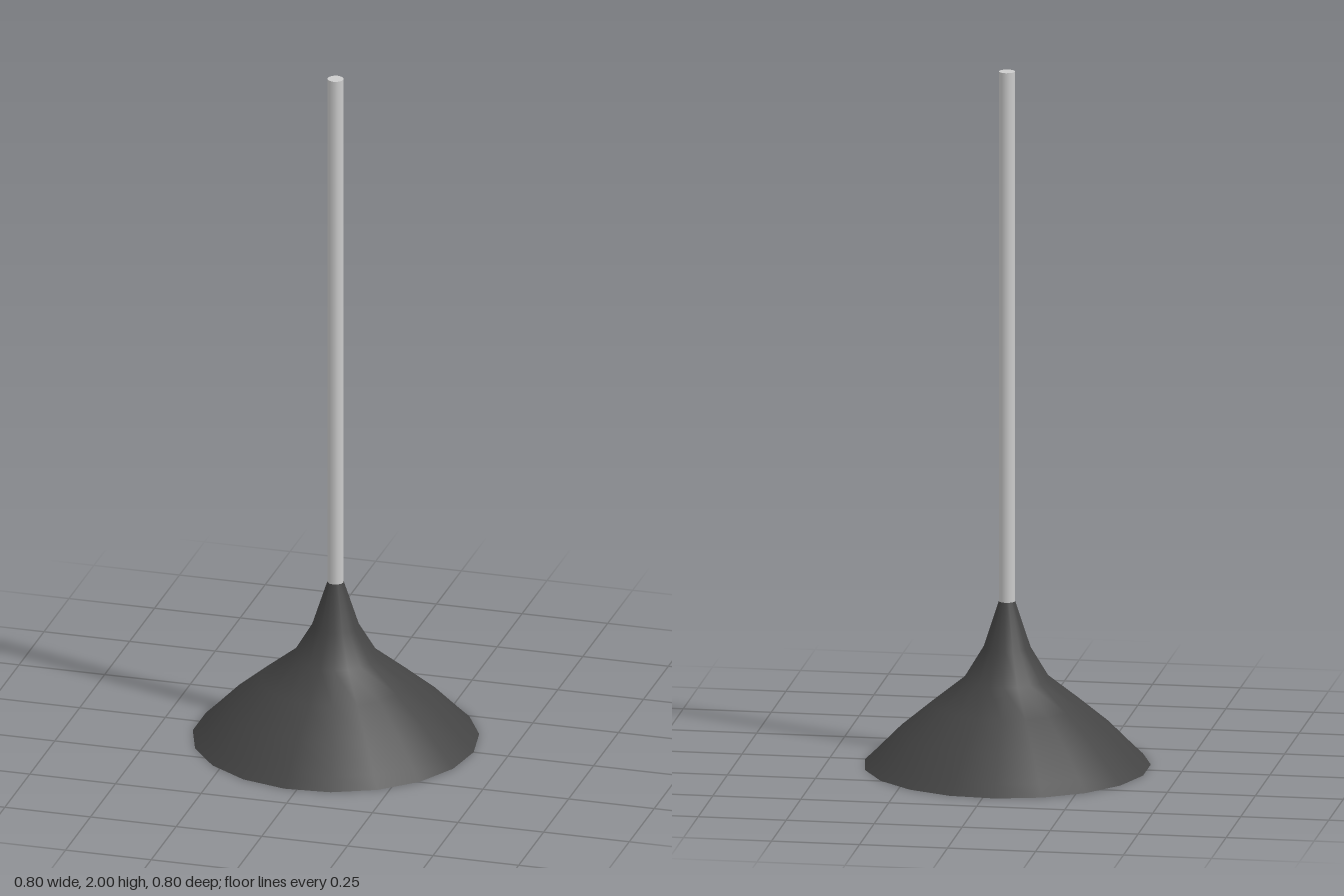
import * as THREE from 'three';

// Turned part from [radius, height] points, listed from bottom to top
function turned(name, profile, sides, material) {
  const points = profile.map(([r, y]) => new THREE.Vector2(r, y));
  const mesh = new THREE.Mesh(new THREE.LatheGeometry(points, sides, Math.PI / 2), material);
  mesh.name = name;
  return mesh;
}

export function createModel() {
  const lamp = new THREE.Group();
  lamp.name = 'pendantLamp';
  const grey = new THREE.MeshStandardMaterial({ color: 0xcccccc });
  const dark = new THREE.MeshStandardMaterial({ color: 0x444444, side: THREE.DoubleSide });

  // Open flared shade, 19-sided
  lamp.add(turned('shade', [
    [0.403, 0], [0.37, 0.032], [0.3, 0.103], [0.21, 0.178],
    [0.12, 0.25], [0.066, 0.34], [0.023, 0.472],
  ], 19, dark));

  // Hanging rod
  const bottom = 0.465, top = 2;
  const rod = new THREE.Mesh(new THREE.CylinderGeometry(0.023, 0.023, top - bottom, 12), grey);
  rod.name = 'rod';
  rod.position.y = (top + bottom) / 2;
  lamp.add(rod);

  // Teardrop bulb inside the shade
  lamp.add(turned('bulb', [
    [0, 0.052], [0.018, 0.056], [0.034, 0.068], [0.043, 0.09],
    [0.041, 0.11], [0.031, 0.138], [0.019, 0.168], [0.009, 0.192], [0, 0.203],
  ], 16, grey));

  // The odd side count puts the axis slightly off the middle
  lamp.children.forEach((part) => { part.position.x = -0.003; });
  return lamp;
}
